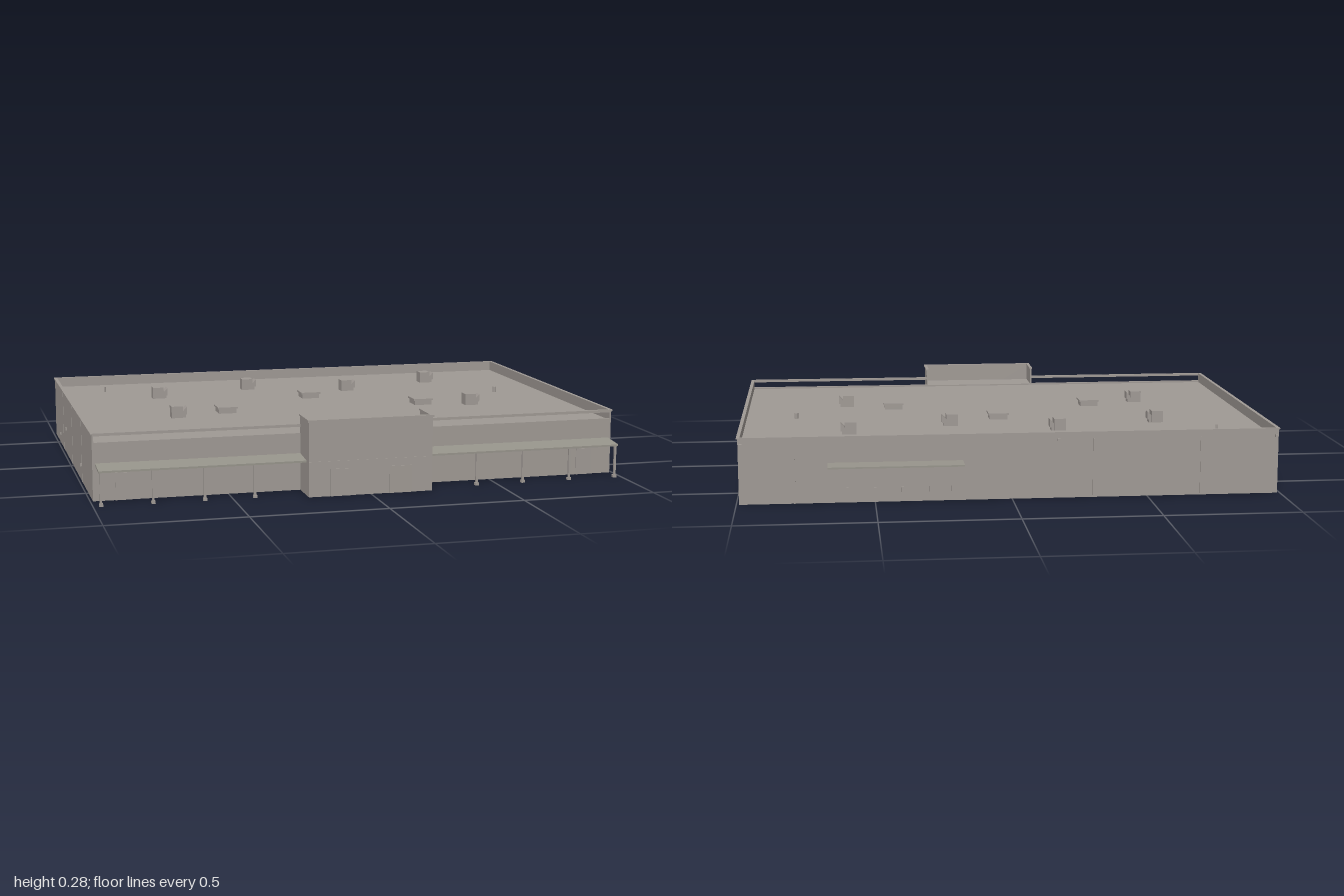
import * as THREE from 'three';

const wallMat = new THREE.MeshStandardMaterial({ color: 0x9f9994 });
wallMat.name = 'warm grey';
const canopyMat = new THREE.MeshStandardMaterial({ color: 0x97948b });
canopyMat.name = 'canopy grey';

export function createModel() {
  const model = new THREE.Group();
  model.name = 'storeBuilding';

  // Box given by its minimum and maximum corners
  function box(name, x0, x1, y0, y1, z0, z1, mat = wallMat, parent = model) {
    const mesh = new THREE.Mesh(new THREE.BoxGeometry(x1 - x0, y1 - y0, z1 - z0), mat);
    mesh.position.set((x0 + x1) / 2, (y0 + y1) / 2, (z0 + z1) / 2);
    mesh.name = name;
    parent.add(mesh);
    return mesh;
  }

  // Extruded side profile of [z, y] points, spanning x0 to x1
  function profile(name, points, x0, x1, mat = wallMat, parent = model) {
    const shape = new THREE.Shape(points.map(([z, y]) => new THREE.Vector2(-z, y)));
    const geo = new THREE.ExtrudeGeometry(shape, { depth: x1 - x0, bevelEnabled: false });
    geo.rotateY(Math.PI / 2);
    geo.translate(x0, 0, 0);
    const mesh = new THREE.Mesh(geo, mat);
    mesh.name = name;
    parent.add(mesh);
    return mesh;
  }

  const X = 0.99, BACK = -0.69, FRONT = 0.635, TOP = 0.245, ROOF = 0.205, T = 0.006;
  const EX = 0.232, EF = 0.765;

  // Hollow shell, open below
  box('backWall', -X, X, 0, TOP - 0.004, BACK, BACK + T);
  box('roof', -X + T, X - T, ROOF - 0.005, ROOF, BACK + T, FRONT - T);
  box('backCoping', -X - 0.003, X + 0.003, TOP - 0.005, TOP, BACK - 0.002, BACK + 0.01);
  for (const s of [-1, 1]) {
    const span = (a, b) => [Math.min(s * a, s * b), Math.max(s * a, s * b)];
    box('sideWall', ...span(X - T, X), 0, TOP - 0.004, BACK + T, FRONT);
    box('sideCoping', ...span(X - 0.008, X + 0.005), TOP - 0.005, TOP, BACK, FRONT + 0.003);
    box('frontWall', ...span(EX, X - T), 0, 0.212, FRONT - T, FRONT);
    // Raised coping rail with an open gap beneath
    box('frontRail', ...span(EX, X), 0.235, TOP, FRONT - 0.008, FRONT + 0.003);
    box('frontBand', ...span(EX, X), 0.207, 0.212, FRONT, FRONT + 0.003);
    box('sideDoor', ...span(0.85, 0.91), 0, 0.1, FRONT, FRONT + 0.003);

    // Sloping front canopy on footed posts
    profile('frontCanopy', [[FRONT, 0.137], [FRONT, 0.13], [0.73, 0.121], [0.73, 0.128]],
      ...span(EX, 0.98), canopyMat);
    for (const x of [0.972, 0.787, 0.602, 0.42]) {
      box('canopyPost', s * x - 0.004, s * x + 0.004, 0, 0.123, 0.716, 0.724);
      box('postFoot', s * x - 0.007, s * x + 0.007, 0, 0.01, 0.713, 0.727);
    }

    // Joint strips and lamps on the side walls
    for (const z of [0.3, -0.03, -0.36]) {
      box('wallJoint', ...span(X, X + 0.001), 0, TOP - 0.005, z - 0.002, z + 0.002);
    }
    for (const [z, y] of [[-0.46, 0.04], [-0.23, 0.1], [0.3, 0.06]]) {
      box('sideFixture', ...span(X, X + 0.007), y, y + 0.01, z - 0.004, z + 0.004);
    }

    // Entrance sides and door
    box('entranceSide', ...span(EX - T, EX), 0, 0.28, FRONT - T, EF - T);
    box('entranceDoor', ...span(0.068, 0.152), 0, 0.1, EF, EF + 0.003);
    box('entranceSideCoping', ...span(EX - 0.009, EX + 0.003), 0.275, 0.281, FRONT - T, EF);
  }

  // Projecting entrance block with a sunken roof
  box('entranceFront', -EX, EX, 0, 0.278, EF - T, EF);
  box('entranceRoof', -EX + T, EX - T, ROOF, ROOF + 0.005, FRONT - T, EF - T);
  box('entranceCoping', -EX - 0.004, EX + 0.004, 0.273, 0.281, EF - 0.012, EF + 0.004);
  box('entranceBand', -EX, EX, 0.126, 0.129, EF, EF + 0.002);

  // Rear canopy
  box('rearCanopy', 0.18, 0.67, 0.142, 0.148, -0.775, BACK, canopyMat);

  // Rear downspouts, lamps and low bumpers
  for (const x of [0.79, -0.3, -0.7]) {
    box('downspout', x - 0.003, x + 0.003, 0, 0.22, BACK - 0.004, BACK);
  }
  for (const x of [-0.98, -0.17, 0.98]) {
    box('rearLamp', x - 0.005, x + 0.005, 0.213, 0.223, BACK - 0.014, BACK);
  }
  for (const x of [0.22, 0.3, 0.4, 0.5, 0.6]) {
    box('dockBumper', x - 0.004, x + 0.004, 0.035, 0.055, BACK - 0.006, BACK);
  }

  // Rooftop air handlers: body with a sloped hood, duct passing under the roof
  for (const [x, z] of [[-0.2, -0.43], [0.59, -0.43], [-0.6, -0.3], [0.2, -0.3], [-0.6, 0.165], [0.59, 0.165]]) {
    const unit = new THREE.Group();
    unit.name = 'airHandler';
    unit.position.set(x, ROOF, z);
    box('handlerBody', -0.03, 0.014, 0, 0.045, -0.023, 0.023, wallMat, unit);
    const hood = profile('handlerHood', [[-0.014, 0.012], [0.002, 0.012], [0.002, 0.026], [-0.014, 0.042]],
      -0.02, 0.02, wallMat, unit);
    hood.rotation.y = -Math.PI / 2;
    hood.position.x = 0.016;
    box('handlerDuct', -0.025, 0.025, -0.014, 0.012, -0.02, 0.02, wallMat, unit);
    model.add(unit);
  }

  // Flat skylights on low curbs
  for (const [x, z] of [[0, -0.165], [-0.4, 0.1], [0.4, 0.1]]) {
    box('skylightCurb', x - 0.035, x + 0.035, ROOF, ROOF + 0.018, z - 0.035, z + 0.035);
    box('skylightLid', x - 0.04, x + 0.04, ROOF + 0.018, ROOF + 0.025, z - 0.04, z + 0.04);
  }

  // Roof vents
  for (const [x, z, r] of [[0.79, -0.1, 0.008], [-0.8, -0.5, 0.004]]) {
    const vent = new THREE.Mesh(new THREE.CylinderGeometry(r, r, 0.022, 12), wallMat);
    vent.position.set(x, ROOF + 0.011, z);
    vent.name = 'roofVent';
    model.add(vent);
  }

  return model;
}
